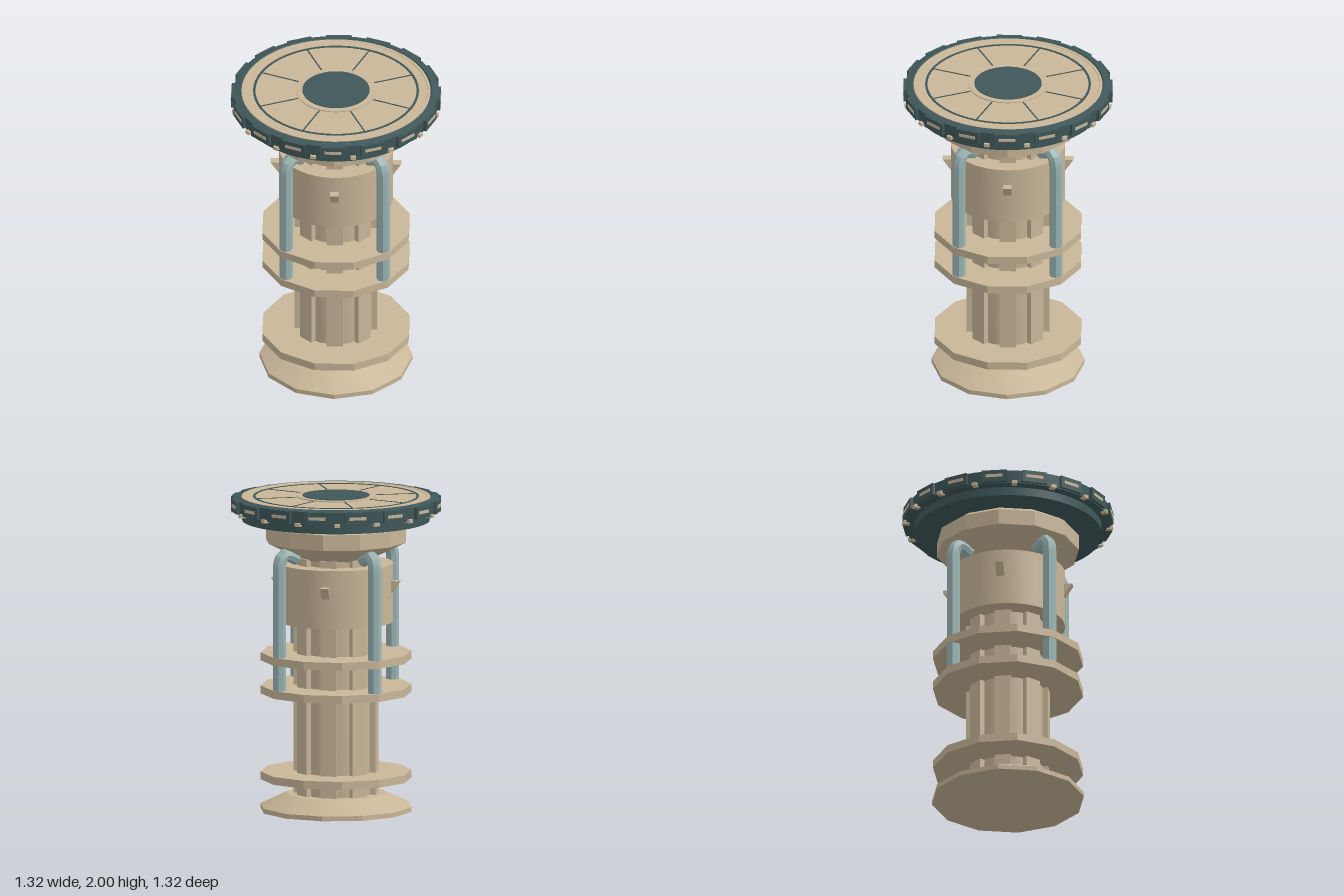
import * as THREE from 'three';
import { toCreasedNormals } from 'three/addons/utils/BufferGeometryUtils.js';

const paint = (name, hex) => {
  const m = new THREE.MeshStandardMaterial({ color: hex });
  m.name = name;
  return m;
};

export function createModel() {
  const model = new THREE.Group();
  model.name = 'pedestalTable';
  const sand = paint('sand', 0xc8b698);
  const darkTeal = paint('darkTeal', 0x3f5759);
  const paleTeal = paint('paleTeal', 0x9ab5b4);

  const add = (name, geometry, material, parent = model) => {
    const mesh = new THREE.Mesh(toCreasedNormals(geometry, 0.4), material);
    mesh.name = name;
    parent.add(mesh);
    return mesh;
  };
  // Turned part from [radius, height] points, bottom to top
  const turned = (name, points, sides, material, turn = 0) =>
    add(name, new THREE.LatheGeometry(points.map(p => new THREE.Vector2(...p)), sides, turn), material);
  const disc = (name, r, y0, y1, sides, material, turn = 0) =>
    turned(name, [[0, y0], [r, y0], [r, y1], [0, y1]], sides, material, turn);
  // Repeats a part around the axis; each copy is built facing +z
  const around = (name, count, offset, build) => {
    for (let i = 0; i < count; i++) {
      const g = new THREE.Group();
      g.name = name;
      g.rotation.y = offset + (i * 2 * Math.PI) / count;
      build(g);
      model.add(g);
    }
  };
  const box = (name, w, h, d, y, z, material, parent) =>
    add(name, new THREE.BoxGeometry(w, h, d).translate(0, y, z), material, parent);

  // Flared foot
  turned('foot', [[0, 0], [0.48, 0], [0.48, 0.03], [0.315, 0.11], [0, 0.11]], 12, sand, Math.PI / 12);

  // Fluted column: core with eight ribs
  disc('columnCore', 0.235, 0.1, 1.615, 16, sand);
  around('columnRib', 8, 0, g => box('rib', 0.104, 1.515, 0.1, 0.8575, 0.21, sand, g));

  // Flat collars
  for (const y of [0.2, 0.745, 0.955]) disc('collar', 0.475, y, y + 0.05, 12, sand);

  // Smooth drum with four wedge brackets
  disc('drum', 0.358, 1.2, 1.57, 64, sand);
  const wedge = new THREE.Shape([[0.33, 1.39], [0.36, 1.39], [0.41, 1.465], [0.33, 1.465]]
    .map(p => new THREE.Vector2(...p)));
  around('bracket', 4, Math.PI / 4, g => {
    const geo = new THREE.ExtrudeGeometry(wedge, { depth: 0.052, bevelEnabled: false });
    add('wedge', geo.translate(0, 0, -0.026).rotateY(-Math.PI / 2), sand, g);
  });

  // Head under the table top
  turned('head', [[0, 1.6], [0.225, 1.6], [0.448, 1.71], [0.448, 1.81], [0.4, 1.845], [0, 1.845]],
    12, sand, Math.PI / 12);

  // Four bent pipes
  const v = (y, z) => new THREE.Vector3(0, y, z);
  const path = new THREE.CurvePath();
  path.add(new THREE.LineCurve3(v(0.78, 0.43), v(1.59, 0.43)));
  path.add(new THREE.QuadraticBezierCurve3(v(1.59, 0.43), v(1.68, 0.41), v(1.64, 0.34)));
  path.add(new THREE.LineCurve3(v(1.64, 0.34), v(1.62, 0.3)));
  around('pipe', 4, 0, g => add('bentPipe', new THREE.TubeGeometry(path, 30, 0.042, 8), paleTeal, g));

  // Table rim with a stepped underside
  turned('rim', [[0, 1.84], [0.588, 1.84], [0.588, 1.895], [0.64, 1.9], [0.643, 1.985],
    [0.6, 1.995], [0.594, 1.985], [0, 1.985]], 64, darkTeal);

  // Table surface, hub and inlays
  turned('tableSurface', [[0.595, 1.982], [0.592, 1.993], [0.575, 1.993], [0.573, 1.99], [0, 1.99]], 64, sand);
  turned('ringInlay', [[0.52, 1.986], [0.52, 1.993], [0.505, 1.993], [0.505, 1.986]], 64, darkTeal);
  around('spokeInlay', 8, Math.PI / 8, g => box('spoke', 0.008, 0.006, 0.25, 1.99, 0.382, darkTeal, g));
  disc('hub', 0.25, 1.985, 1.996, 48, sand);
  disc('hubInlay', 0.211, 1.994, 2, 48, darkTeal);

  // Rim panels with light strips, and studs between them
  around('rimPanel', 16, 0, g => {
    box('panel', 0.16, 0.078, 0.03, 1.945, 0.641, darkTeal, g);
    box('lightStrip', 0.108, 0.02, 0.006, 1.946, 0.656, sand, g);
  });
  around('rimStud', 16, Math.PI / 16, g => box('stud', 0.034, 0.022, 0.04, 1.902, 0.638, sand, g));

  return model;
}
